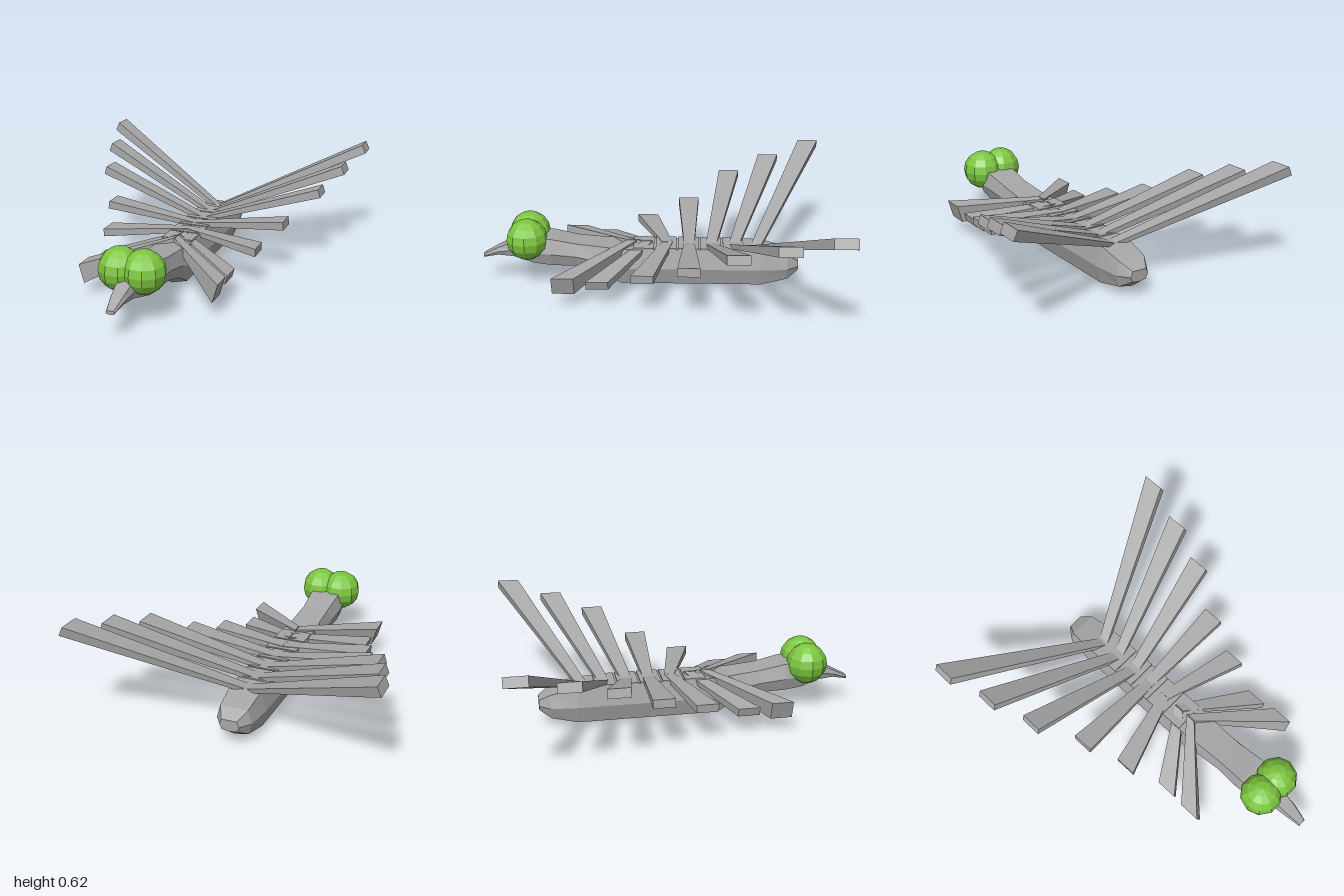
import * as THREE from 'three';

// Skin a list of rings (each a loop of [x, y, z]) and close both ends
function loft(rings) {
  const pos = [];
  const tri = (a, b, c) => pos.push(...a, ...b, ...c);
  const n = rings[0].length;
  for (let i = 0; i < rings.length - 1; i++) {
    for (let j = 0; j < n; j++) {
      const k = (j + 1) % n;
      const a = rings[i][j], b = rings[i][k], c = rings[i + 1][k], d = rings[i + 1][j];
      tri(a, b, c);
      tri(a, c, d);
    }
  }
  const first = rings[0], last = rings[rings.length - 1];
  for (let j = 1; j < n - 1; j++) {
    tri(first[0], first[j + 1], first[j]);
    tri(last[0], last[j], last[j + 1]);
  }
  const g = new THREE.BufferGeometry();
  g.setAttribute('position', new THREE.Float32BufferAttribute(pos, 3));
  g.computeVertexNormals();
  return g;
}

// Seven-sided body section: keeled belly, flat back
function bodyRing([z, top, bottom, w]) {
  const h = top - bottom;
  return [[0, 0], [0.78, 0.1], [1, 0.52], [0.78, 1], [-0.78, 1], [-1, 0.52], [-0.78, 0.1]]
    .map(([x, y]) => [x * w, bottom + y * h, z]);
}

// Tapered rib from the spine to its tip; side is +1 (left) or -1 (right)
function ribGeometry({ tip, root, thick }, side) {
  const [x, y, z] = tip;
  const dy = y - root[0];
  const len = Math.hypot(x, dy);
  const nx = -dy / len, ny = x / len;
  const ring = (cx, cy, cz, t, w) => {
    const r = [[-t, -w], [t, -w], [t, w], [-t, w]]
      .map(([u, v]) => [side * (cx + nx * u), cy + ny * u, cz + v]);
    return side > 0 ? r : r.reverse();
  };
  return loft([ring(0, root[0], root[1], 0.012, 0.03), ring(x, y, z, thick / 2, 0.061)]);
}

export function createModel() {
  const model = new THREE.Group();
  const grey = new THREE.MeshStandardMaterial({ color: 0xa6a6a6, flatShading: true });
  grey.name = 'stone grey';
  const green = new THREE.MeshStandardMaterial({ color: 0x7cc63f, flatShading: true });
  green.name = 'eye green';
  const add = (name, geometry, material) => {
    const mesh = new THREE.Mesh(geometry, material);
    mesh.name = name;
    model.add(mesh);
    return mesh;
  };

  // Body, neck and beak: z, top, bottom, half width
  const sections = [
    [-0.815, 0.155, 0.09, 0.055], [-0.75, 0.195, 0.04, 0.1], [-0.6, 0.232, 0, 0.115],
    [0.2, 0.232, 0, 0.115], [0.3, 0.24, 0.06, 0.105], [0.45, 0.255, 0.105, 0.1],
    [0.6, 0.285, 0.11, 0.11], [0.7, 0.29, 0.12, 0.1], [0.82, 0.25, 0.15, 0.053],
    [0.91, 0.21, 0.16, 0.042], [1, 0.162, 0.142, 0.024],
  ];
  add('body', loft(sections.map(bodyRing)), grey);

  // Plates along the back
  for (let i = 0; i < 5; i++) {
    add('backPlate', new THREE.BoxGeometry(0.18, 0.02, 0.117), grey)
      .position.set(0, 0.23, -0.442 + i * 0.128);
  }

  // Seven pairs of ribs, back to front; root is [y, z]
  const ribs = [
    { tip: [0.835, 0.59, -0.94], root: [0.215, -0.57], thick: 0.055 },
    { tip: [0.765, 0.515, -0.685], root: [0.22, -0.445], thick: 0.053 },
    { tip: [0.685, 0.433, -0.437], root: [0.222, -0.315], thick: 0.05 },
    { tip: [0.545, 0.297, -0.187], root: [0.228, -0.19], thick: 0.047 },
    { tip: [0.46, 0.213, 0.063], root: [0.232, -0.065], thick: 0.046 },
    { tip: [0.38, 0.137, 0.313], root: [0.238, 0.05], thick: 0.05 },
    { tip: [0.383, 0.133, 0.5], root: [0.243, 0.14], thick: 0.107 },
  ];
  for (const rib of ribs) {
    add('leftRib', ribGeometry(rib, 1), grey);
    add('rightRib', ribGeometry(rib, -1), grey);
  }

  // Bulging eyes
  for (const side of [1, -1]) {
    add(side > 0 ? 'leftEye' : 'rightEye', new THREE.SphereGeometry(0.118, 10, 8), green)
      .position.set(side * 0.065, 0.277, 0.735);
  }
  return model;
}
